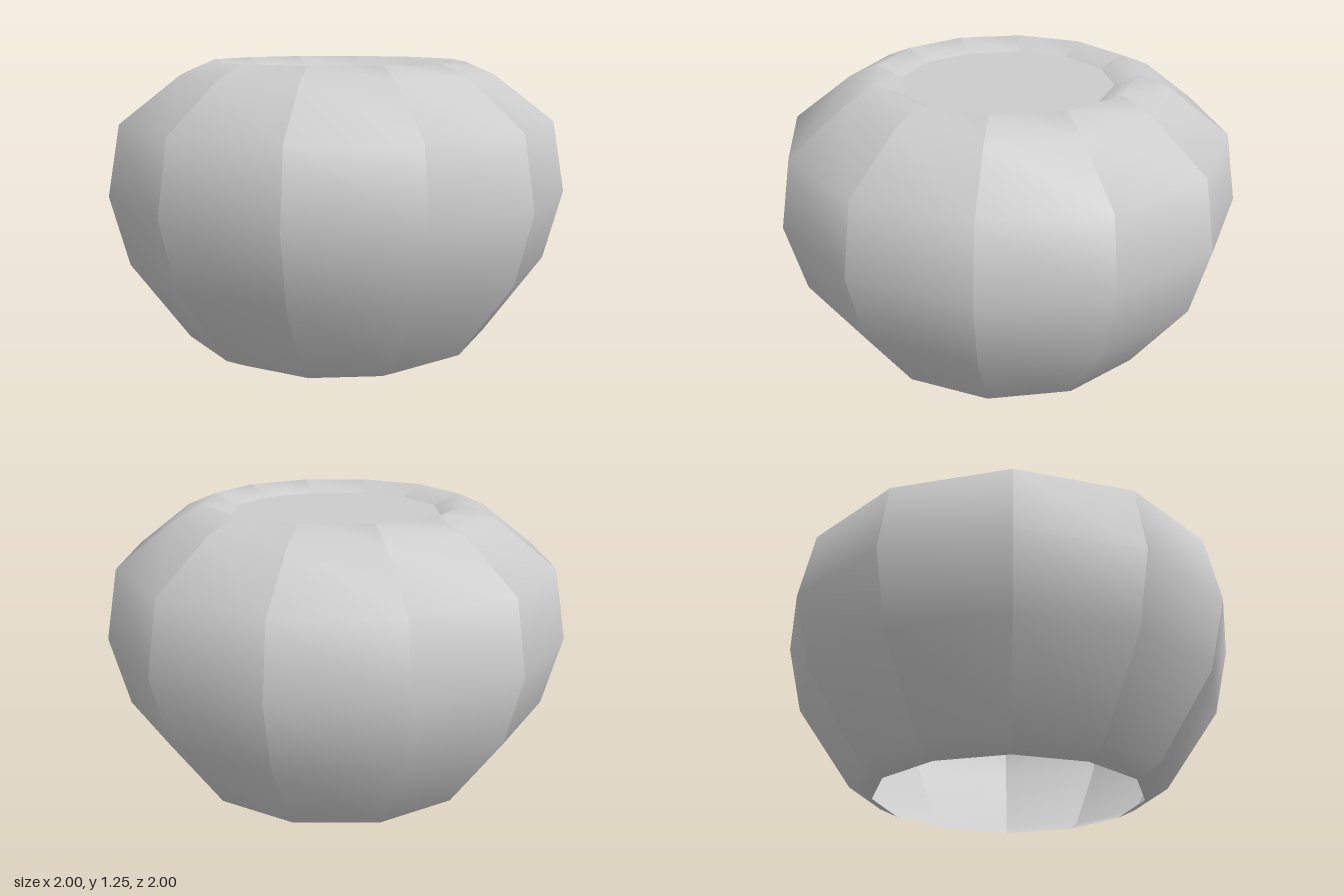
import * as THREE from 'three';
import { mergeGeometries } from 'three/addons/utils/BufferGeometryUtils.js';

const SIDES = 12;

// Half outline from the open foot up to the rim and down into the recess: [radius, height]
const PROFILE = [
  [0.58, 0], [0.68, 0.05], [0.925, 0.4], [1, 0.7], [0.945, 1],
  [0.69, 1.195], [0.56, 1.25], [0.455, 1.2],
].map(([r, y]) => new THREE.Vector2(r, y));

export function createModel() {
  const group = new THREE.Group();
  const material = new THREE.MeshStandardMaterial({ color: 0xcccccc, side: THREE.DoubleSide });

  // Each panel is smooth from foot to rim, with sharp seams between panels
  const panels = [];
  const step = (Math.PI * 2) / SIDES;
  for (let i = 0; i < SIDES; i++) {
    const panel = new THREE.LatheGeometry(PROFILE, 1, i * step, step);
    panel.computeVertexNormals();
    panels.push(panel);
  }
  const body = new THREE.Mesh(mergeGeometries(panels), material);
  body.name = 'potBody';
  group.add(body);

  // Flat surface sunk just below the rim
  const fill = new THREE.Mesh(new THREE.CircleGeometry(0.455, SIDES).rotateX(-Math.PI / 2), material);
  fill.name = 'topSurface';
  fill.position.y = 1.2;
  group.add(fill);

  return group;
}
